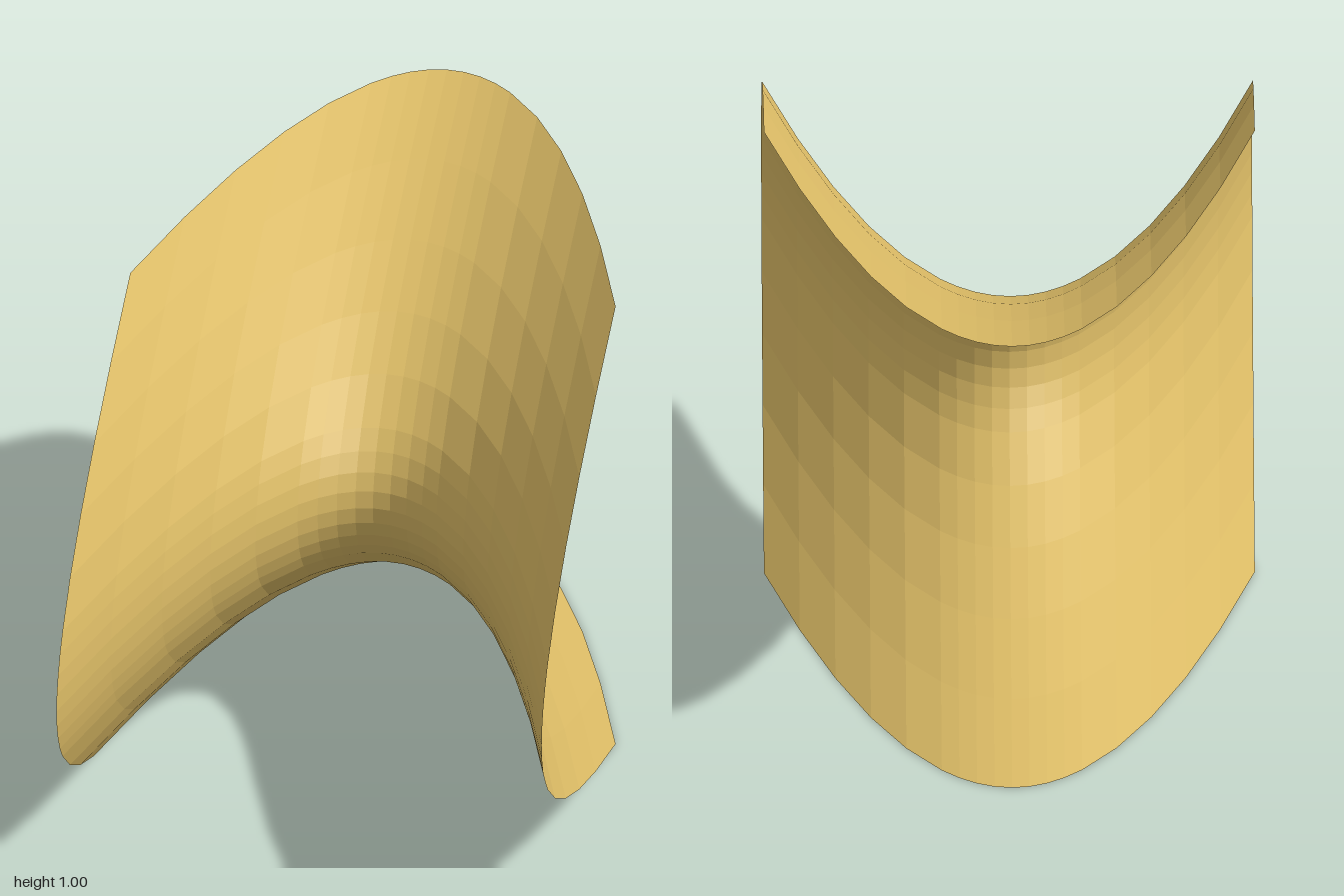
import * as THREE from 'three';

// Grid lines across the unit square, with half steps near the saddle point
function gridLines() {
  const lines = [];
  for (let i = -7; i <= 7; i++) lines.push(i / 14);
  for (const h of [0.5, 1.5]) lines.push(h / 14, -h / 14);
  return lines.sort((a, b) => a - b);
}

// Hyperbolic paraboloid: sides sweep forward, top and bottom sweep back
function saddleGeometry() {
  const lines = gridLines();
  const n = lines.length;
  const geometry = new THREE.PlaneGeometry(1, 1, n - 1, n - 1);
  const pos = geometry.attributes.position;
  for (let i = 0; i < pos.count; i++) {
    const x = lines[i % n];
    const y = -lines[Math.floor(i / n)];
    pos.setXYZ(i, x, y + 0.5, 4 * (x * x - y * y));
  }
  geometry.computeVertexNormals();
  return geometry;
}

export function createModel() {
  const group = new THREE.Group();
  group.name = 'saddleSurface';
  const material = new THREE.MeshStandardMaterial({
    color: 0xd9b964,
    flatShading: true,
    side: THREE.DoubleSide,
  });
  const sheet = new THREE.Mesh(saddleGeometry(), material);
  sheet.name = 'saddleSheet';
  group.add(sheet);
  return group;
}
